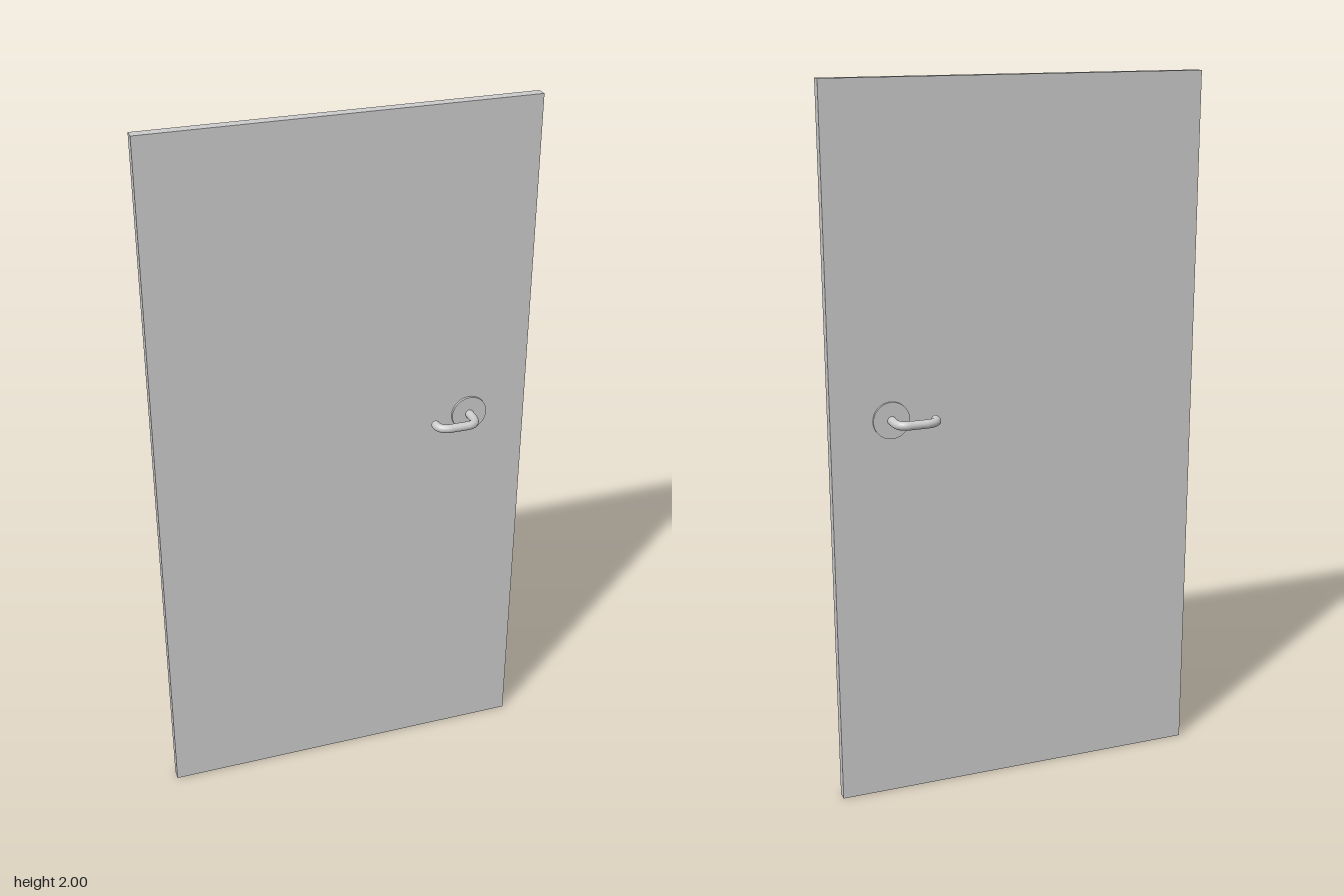
import * as THREE from 'three';

const HANDLE_Y = 1.105, HANDLE_X = 0.365, TUBE_R = 0.012;
const material = new THREE.MeshStandardMaterial({ color: 0xcccccc });

function part(name, geometry, parent) {
  const mesh = new THREE.Mesh(geometry, material);
  mesh.name = name;
  parent.add(mesh);
  return mesh;
}

// Lever handle for one face of the door; side is +1 (front) or -1 (back)
function createHandle(side) {
  const handle = new THREE.Group();
  handle.name = side > 0 ? 'frontHandle' : 'backHandle';
  handle.position.set(HANDLE_X, HANDLE_Y, 0);

  // Round plate against the door
  const plate = part('plate', new THREE.CylinderGeometry(0.051, 0.051, 0.007, 40), handle);
  plate.rotation.x = Math.PI / 2;
  plate.position.z = side * 0.0185;

  // Bent lever: stem, bend, grip, bend, returned tip
  const p = (x, z) => new THREE.Vector3(x, 0, side * z);
  const path = new THREE.CurvePath();
  path.add(new THREE.LineCurve3(p(0, 0.01), p(0, 0.046)));
  path.add(new THREE.QuadraticBezierCurve3(p(0, 0.046), p(0, 0.085), p(-0.03, 0.085)));
  path.add(new THREE.LineCurve3(p(-0.03, 0.085), p(-0.08, 0.085)));
  path.add(new THREE.QuadraticBezierCurve3(p(-0.08, 0.085), p(-0.113, 0.081), p(-0.113, 0.056)));
  path.add(new THREE.LineCurve3(p(-0.113, 0.056), p(-0.113, 0.05)));
  part('lever', new THREE.TubeGeometry(path, 64, TUBE_R, 20, false), handle);

  // Flat end of the lever, facing the door
  const tip = part('leverTip', new THREE.CircleGeometry(TUBE_R, 20), handle);
  tip.position.copy(p(-0.113, 0.05));
  if (side > 0) tip.rotation.y = Math.PI;

  return handle;
}

export function createModel() {
  const door = new THREE.Group();
  door.name = 'door';
  part('doorPanel', new THREE.BoxGeometry(1.066, 2, 0.03), door).position.y = 1;
  for (const side of [1, -1]) door.add(createHandle(side));
  return door;
}
